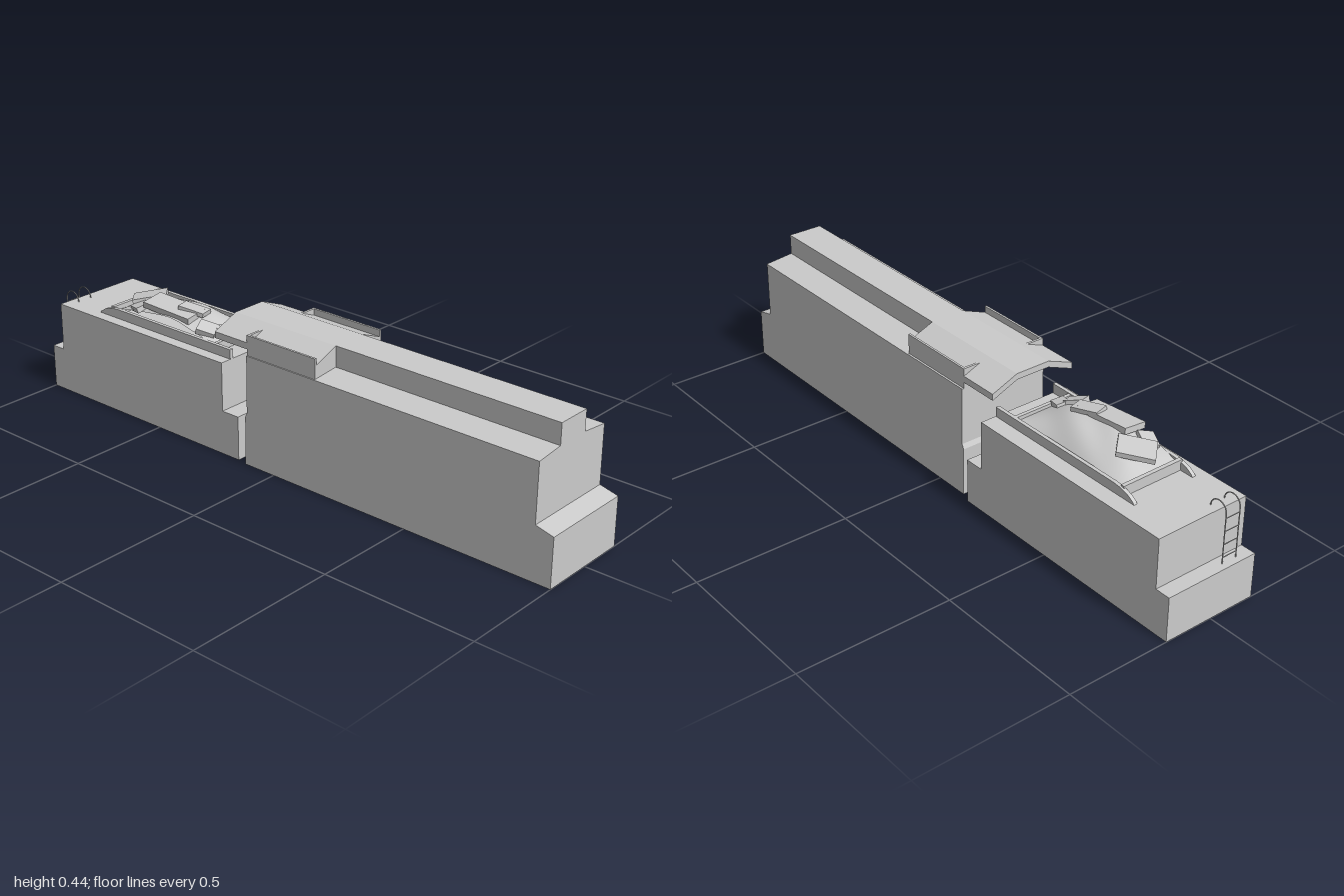
import * as THREE from 'three';

const material = new THREE.MeshStandardMaterial({ color: 0xcccccc, flatShading: true, side: THREE.DoubleSide });
const smooth = new THREE.MeshStandardMaterial({ color: 0xcccccc, side: THREE.DoubleSide });

const shapeOf = (points) => new THREE.Shape(points.map(([a, b]) => new THREE.Vector2(a, b)));

// Cross-section in x,y swept along z from z0 to z1
function alongZ(points, z0, z1) {
  return new THREE.ExtrudeGeometry(shapeOf(points), { depth: z1 - z0, bevelEnabled: false }).translate(0, 0, z0);
}

// Side profile in z,y swept along x from x0 to x1
function alongX(points, x0, x1) {
  return new THREE.ExtrudeGeometry(shapeOf(points), { depth: x1 - x0, bevelEnabled: false })
    .rotateY(-Math.PI / 2).translate(x1, 0, 0);
}

function block(x0, x1, y0, y1, z0, z1) {
  return new THREE.BoxGeometry(x1 - x0, y1 - y0, z1 - z0)
    .translate((x0 + x1) / 2, (y0 + y1) / 2, (z0 + z1) / 2);
}

export function createModel() {
  const model = new THREE.Group();
  model.name = 'locomotiveAndTender';
  const add = (name, geometry, parent = model, mat = material) => {
    const mesh = new THREE.Mesh(geometry, mat);
    mesh.name = name;
    parent.add(mesh);
    return mesh;
  };

  // Locomotive body, narrowing slightly towards the top
  const locomotive = new THREE.Group();
  locomotive.name = 'locomotive';
  model.add(locomotive);
  const midX = -0.0065;
  const body = alongX([
    [1, 0], [1, 0.158], [0.94, 0.173], [0.94, 0.36],
    [-0.108, 0.36], [-0.108, 0.173], [-0.115, 0.158], [-0.115, 0],
  ], midX - 0.1565, midX + 0.1565);
  const pos = body.attributes.position;
  for (let i = 0; i < pos.count; i++) {
    const taper = 1 - 0.016 * pos.getY(i) / 0.36;
    pos.setX(i, midX + (pos.getX(i) - midX) * taper);
  }
  body.computeVertexNormals();
  add('body', body, locomotive);

  // Raised ridge with gently sloping shoulders
  add('topRidge', alongZ([
    [-0.16, 0.36], [0.148, 0.36], [0.052, 0.37], [0.052, 0.437], [-0.065, 0.437], [-0.065, 0.37],
  ], 0.16, 0.94), locomotive);

  // Cab top and faceted roof that overhangs the rear
  const left = 0.141, right = -0.157;
  add('cabTop', alongZ([
    [right, 0.36], [left, 0.36], [left, 0.381], [0.052, 0.418], [-0.065, 0.418], [right, 0.381],
  ], -0.108, 0.16), locomotive);
  add('roof', alongZ([
    [right, 0.38], [-0.065, 0.417], [0.052, 0.417], [left, 0.38],
    [left, 0.401], [0.052, 0.437], [-0.065, 0.437], [right, 0.401],
  ], -0.24, 0.16), locomotive);

  // Upright edge plates on the roof, closed at the rear
  for (const [x, s] of [[right, 1], [left, -1]]) {
    const xi = x + s * 0.007;
    add('roofEdgePlate', block(Math.min(x, xi), Math.max(x, xi), 0.38, 0.425, -0.108, 0.16), locomotive);
    add('roofEndPlate', alongZ([[x, 0.4], [x + s * 0.06, 0.425], [x, 0.425]], -0.108, -0.1), locomotive);
  }

  // Tender body with low steps at both ends
  const tender = new THREE.Group();
  tender.name = 'tender';
  model.add(tender);
  add('tenderBody', alongX([
    [-0.15, 0], [-0.15, 0.145], [-0.215, 0.145], [-0.215, 0.305],
    [-0.95, 0.305], [-0.95, 0.145], [-1, 0.145], [-1, 0],
  ], -0.157, 0.163), tender);

  // Bunker walls: side rails curving down at the rear, and two cross walls
  const rail = [
    [-0.215, 0.3], [-0.215, 0.336], [-0.715, 0.336], [-0.745, 0.333],
    [-0.775, 0.323], [-0.793, 0.311], [-0.8, 0.3],
  ];
  for (const x of [-0.113, 0.103]) add('bunkerRail', alongX(rail, x - 0.006, x + 0.006), tender);
  add('bunkerFrontWall', block(-0.113, 0.103, 0.3, 0.334, -0.296, -0.284), tender);
  add('bunkerRearWall', block(-0.113, 0.103, 0.3, 0.338, -0.75, -0.737), tender);

  // Load: uneven mound, higher on the right
  const mound = new THREE.PlaneGeometry(0.206, 0.445, 14, 24).rotateX(-Math.PI / 2).translate(-0.005, 0, -0.515);
  const mp = mound.attributes.position;
  for (let i = 0; i < mp.count; i++) {
    const x = mp.getX(i), z = mp.getZ(i);
    const u = (x + 0.005) / 0.103, v = (z + 0.515) / 0.2225;
    const dome = Math.max(0, 1 - v * v) * Math.max(0, 1 - Math.pow(Math.abs(u + 0.25) / 1.25, 2.2));
    mp.setY(i, 0.322 + 0.06 * dome + 0.005 * dome * Math.sin(41 * x + 27 * z));
  }
  mound.computeVertexNormals();
  add('loadMound', mound, tender, smooth);

  // Flat lumps lying on the mound: size, position, rotation
  const lumps = [
    [[0.085, 0.016, 0.11], [-0.02, 0.366, -0.665], [-0.22, 0.75, 0.05]],
    [[0.08, 0.02, 0.19], [-0.065, 0.378, -0.51], [0.06, 0.05, 0.12]],
    [[0.05, 0.018, 0.06], [-0.085, 0.357, -0.64], [-0.2, -0.4, 0.2]],
    [[0.055, 0.02, 0.06], [-0.075, 0.352, -0.355], [0.3, 0.5, 0.1]],
    [[0.04, 0.018, 0.045], [-0.04, 0.345, -0.325], [0.2, -0.3, -0.1]],
    [[0.05, 0.014, 0.09], [-0.04, 0.384, -0.445], [0.14, 0.25, -0.05]],
  ];
  for (const [size, at, turn] of lumps) {
    const lump = add('loadLump', new THREE.BoxGeometry(...size), tender);
    lump.position.set(...at);
    lump.rotation.set(...turn);
  }

  // Rear ladder with hooked handrails
  const ladder = new THREE.Group();
  ladder.name = 'ladder';
  tender.add(ladder);
  for (const x of [-0.105, -0.053]) {
    const path = new THREE.CurvePath();
    const pts = [new THREE.Vector3(x, 0.145, -0.978), new THREE.Vector3(x, 0.305, -0.978)];
    path.add(new THREE.LineCurve3(...pts));
    const arc = [];
    for (let i = 0; i <= 10; i++) {
      const a = Math.PI * i / 10;
      arc.push(new THREE.Vector3(x, 0.305 + 0.03 * Math.sin(a), -0.949 - 0.029 * Math.cos(a)));
    }
    path.add(new THREE.CatmullRomCurve3(arc));
    add('ladderRail', new THREE.TubeGeometry(path, 40, 0.0018, 6), ladder, smooth);
  }
  for (let i = 0; i < 4; i++) {
    add('ladderRung', new THREE.CylinderGeometry(0.0016, 0.0016, 0.052, 6)
      .rotateZ(Math.PI / 2).translate(-0.079, 0.165 + i * 0.042, -0.978), ladder, smooth);
  }

  return model;
}
